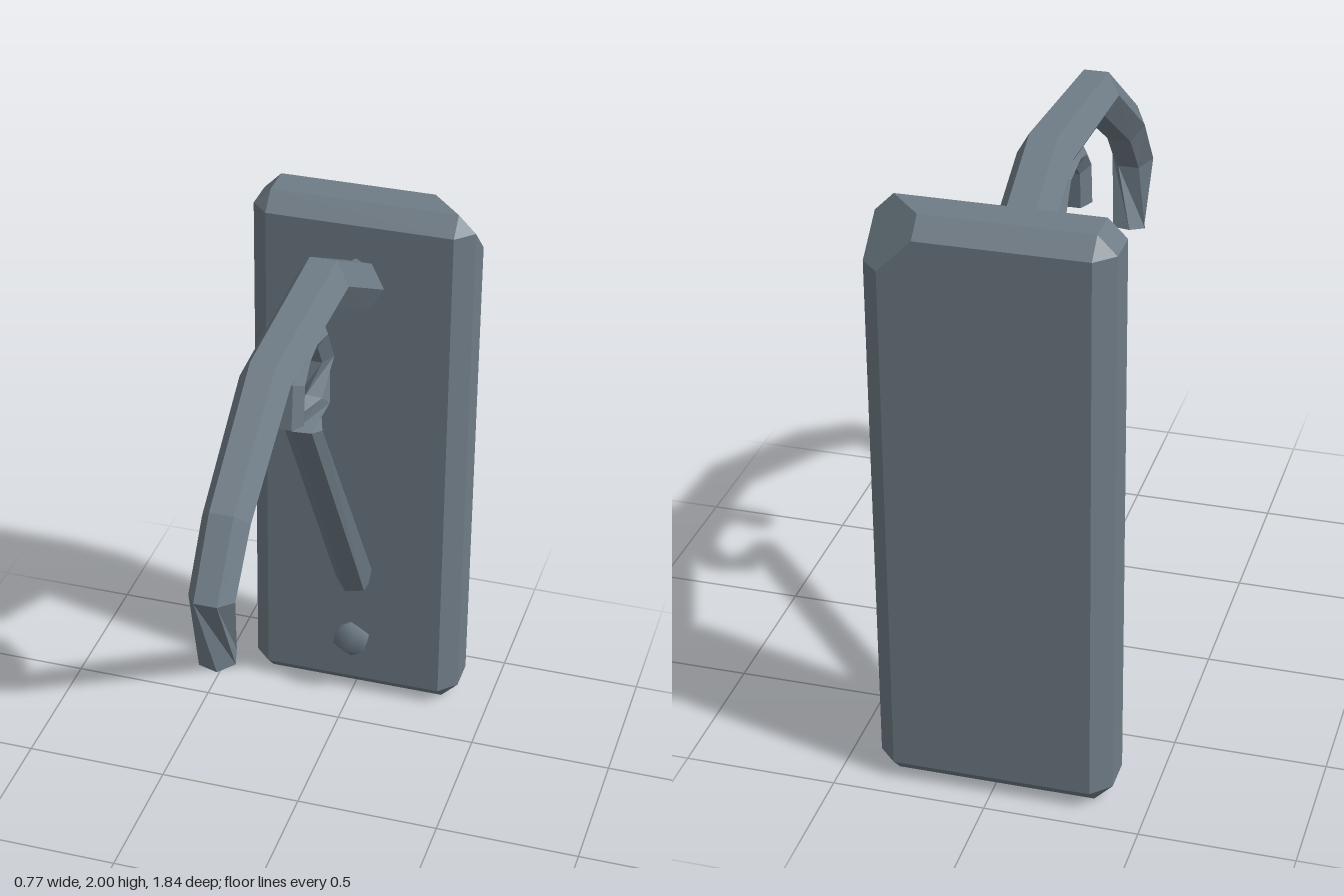
import * as THREE from 'three';
import { mergeVertices } from 'three/addons/utils/BufferGeometryUtils.js';
import { ConvexGeometry } from 'three/addons/geometries/ConvexGeometry.js';

const SIDES = 6;
const rad = THREE.MathUtils.degToRad;

// Six-sided bar along a path in the x = 0 plane; each stop is [z, y, radius, twist in degrees]
function bar(stops) {
  const centers = stops.map(([z, y]) => new THREE.Vector3(0, y, z));
  const side = new THREE.Vector3(1, 0, 0);
  const positions = [], index = [];
  const last = stops.length - 1;
  stops.forEach(([, , r, twist], k) => {
    const c = centers[k], t = new THREE.Vector3();
    if (k > 0) t.add(c.clone().sub(centers[k - 1]).normalize());
    if (k < last) t.add(centers[k + 1].clone().sub(c).normalize());
    const up = t.normalize().cross(side);
    for (let i = 0; i < SIDES; i++) {
      const a = rad(twist + i * 360 / SIDES);
      const p = c.clone().addScaledVector(side, r * Math.cos(a)).addScaledVector(up, r * Math.sin(a));
      positions.push(p.x, p.y, p.z);
    }
  });
  for (let k = 0; k < last; k++) {
    for (let i = 0; i < SIDES; i++) {
      const a = k * SIDES + i, b = k * SIDES + (i + 1) % SIDES;
      index.push(a, b, b + SIDES, a, b + SIDES, a + SIDES);
    }
  }
  // End caps
  const e = last * SIDES;
  for (let i = 1; i < SIDES - 1; i++) index.push(0, i + 1, i, e, e + i, e + i + 1);
  const g = new THREE.BufferGeometry();
  g.setAttribute('position', new THREE.Float32BufferAttribute(positions, 3));
  g.setIndex(index);
  const flat = g.toNonIndexed();
  flat.computeVertexNormals();
  return flat;
}

// Chamfered slab with one corner (left, top, back) cut deeper
function plateGeometry() {
  const hx = 0.383, hy = 0.985, hz = 0.12, c = 0.06;
  const points = [];
  for (const sx of [-1, 1]) for (const sy of [-1, 1]) for (const sz of [-1, 1]) {
    const cut = sx > 0 && sy > 0 && sz < 0 ? 0.11 : 0;
    const add = (x, y, z) => points.push(new THREE.Vector3(sx * x, sy * y, sz * z));
    add(hx, hy - c - cut, hz - c);
    add(hx - c - cut, hy, hz - c);
    add(hx - c, hy - c - cut, hz);
    if (cut) add(hx - c - cut, hy - c, hz);
  }
  return new ConvexGeometry(points);
}

// Flattened smooth screw head with a corner pointing up
function screwGeometry() {
  let g = new THREE.IcosahedronGeometry(0.075, 0);
  g.deleteAttribute('normal');
  g.deleteAttribute('uv');
  g = mergeVertices(g, 1e-4);
  g.rotateZ(-Math.atan(2 / (1 + Math.sqrt(5))));
  g.scale(1, 1, 0.53);
  g.computeVertexNormals();
  return g;
}

export function createModel() {
  const group = new THREE.Group();
  const metal = new THREE.MeshStandardMaterial({ color: 0x6f7c86 });
  metal.name = 'slate grey metal';
  const add = (name, geometry, y = 0, z = 0) => {
    const mesh = new THREE.Mesh(geometry, metal);
    mesh.name = name;
    mesh.position.set(0, y, z);
    group.add(mesh);
  };

  add('wallPlate', plateGeometry(), 0.985, -0.8);

  // Long curved arm with a twisted tip
  add('upperArm', bar([
    [-0.675, 1.69, 0.092, 0], [-0.255, 1.922, 0.09, 0], [0.33, 1.896, 0.082, 0],
    [0.715, 1.635, 0.076, 0], [0.86, 1.45, 0.073, 0], [0.815, 1.205, 0.064, -105],
  ]));

  // Diagonal strut that twists into a small hook
  add('lowerHook', bar([
    [-0.695, 0.497, 0.068, 13], [-0.058, 1.495, 0.062, 13], [-0.17, 1.54, 0.054, 75],
    [-0.225, 1.68, 0.053, 120], [-0.152, 1.8, 0.053, 120], [-0.035, 1.825, 0.053, 120],
    [0.035, 1.808, 0.053, 120], [0.095, 1.75, 0.053, 120], [0.108, 1.612, 0.053, 120],
  ]));

  add('lowerScrew', screwGeometry(), 0.245, -0.655);
  add('upperScrew', screwGeometry(), 1.728, -0.655);

  return group;
}
